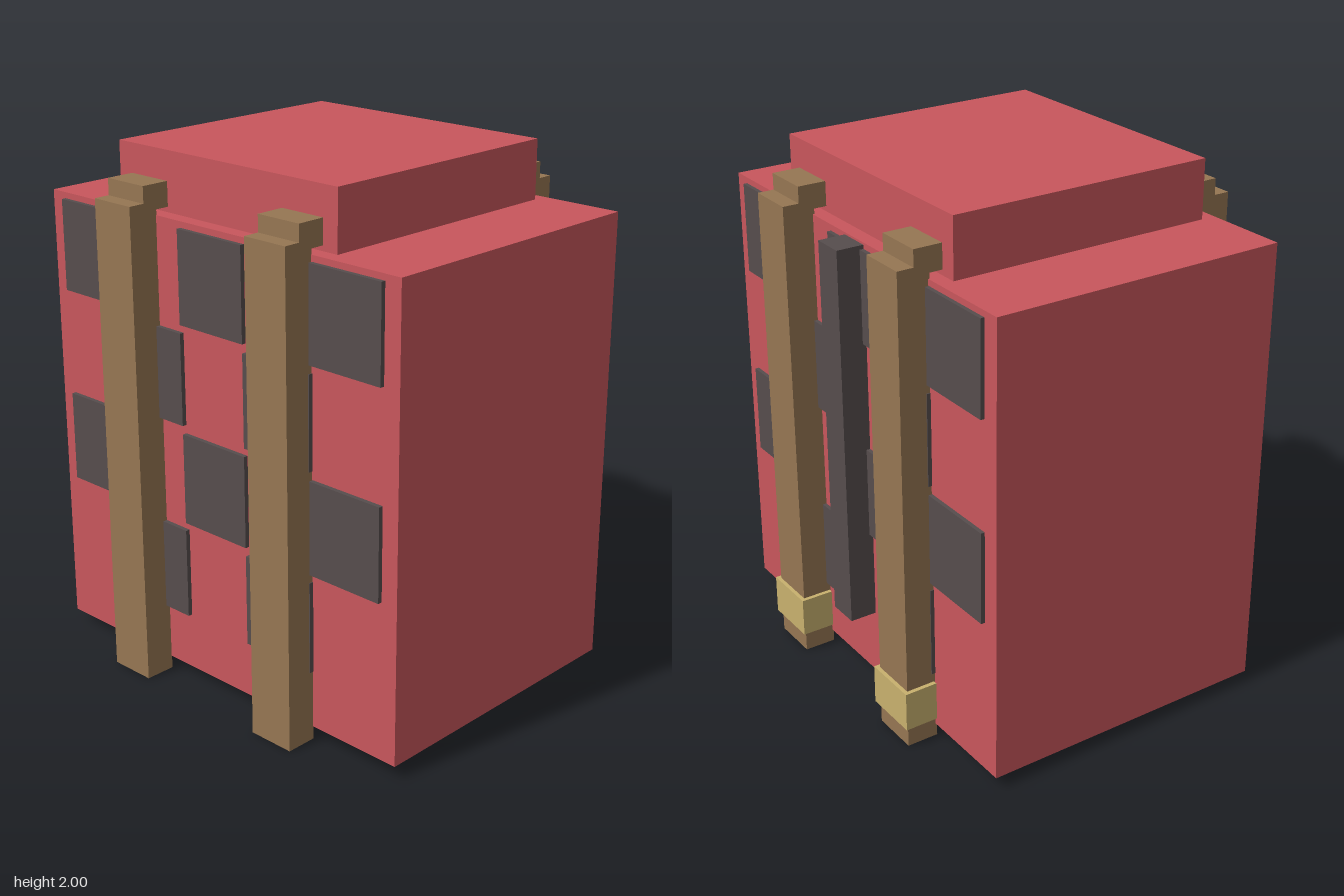
import * as THREE from 'three';

const mat = (name, color) => {
  const m = new THREE.MeshStandardMaterial({ color });
  m.name = name;
  return m;
};

export function createModel() {
  const red = mat('red', 0xc8565c);
  const charcoal = mat('charcoal', 0x564d4d);
  const brown = mat('brown', 0x967653);
  const gold = mat('gold', 0xc8b16e);

  const model = new THREE.Group();
  model.name = 'backpack';

  // Box given by its minimum and maximum on each axis
  const box = (name, material, [x0, x1], [y0, y1], [z0, z1]) => {
    const mesh = new THREE.Mesh(new THREE.BoxGeometry(x1 - x0, y1 - y0, z1 - z0), material);
    mesh.position.set((x0 + x1) / 2, (y0 + y1) / 2, (z0 + z1) / 2);
    mesh.name = name;
    model.add(mesh);
  };

  // Main body and raised lid
  box('body', red, [-0.855, 0.855], [0.05, 1.778], [-0.568, 0.582]);
  box('lid', red, [-0.533, 0.533], [1.778, 2], [-0.513, 0.526]);

  // Checkerboard panels on front and back: three per odd row, two per even row
  const pitch = 0.315, half = pitch / 2;
  for (let row = 0; row < 4; row++) {
    const top = 1.755 - row * 0.379;
    const columns = row % 2 ? [-1, 1] : [-2, 0, 2];
    for (const c of columns) {
      const x = [c * pitch - half, c * pitch + half];
      const y = [top - 0.347, top];
      box('frontPanel', charcoal, x, y, [0.58, 0.599]);
      box('backPanel', charcoal, x, y, [-0.583, -0.566]);
    }
  }

  // Straps with stepped upper ends joining the lid, and buckles low on the back
  for (const side of [-1, 1]) {
    const cx = side * 0.376;
    const x = [cx - 0.093, cx + 0.093];
    box('frontStrap', brown, x, [0, 1.828], [0.58, 0.7]);
    box('frontStrapEnd', brown, x, [1.798, 1.89], [0.525, 0.637]);
    box('backStrap', brown, x, [0, 1.828], [-0.685, -0.562]);
    box('backStrapEnd', brown, x, [1.798, 1.89], [-0.622, -0.512]);
    box('buckle', gold, [cx - 0.109, cx + 0.109], [0.083, 0.235], [-0.7, -0.572]);
  }

  // Upright bar in the middle of the back
  box('backBar', charcoal, [-0.063, 0.061], [0.31, 1.77], [-0.672, -0.566]);

  return model;
}
